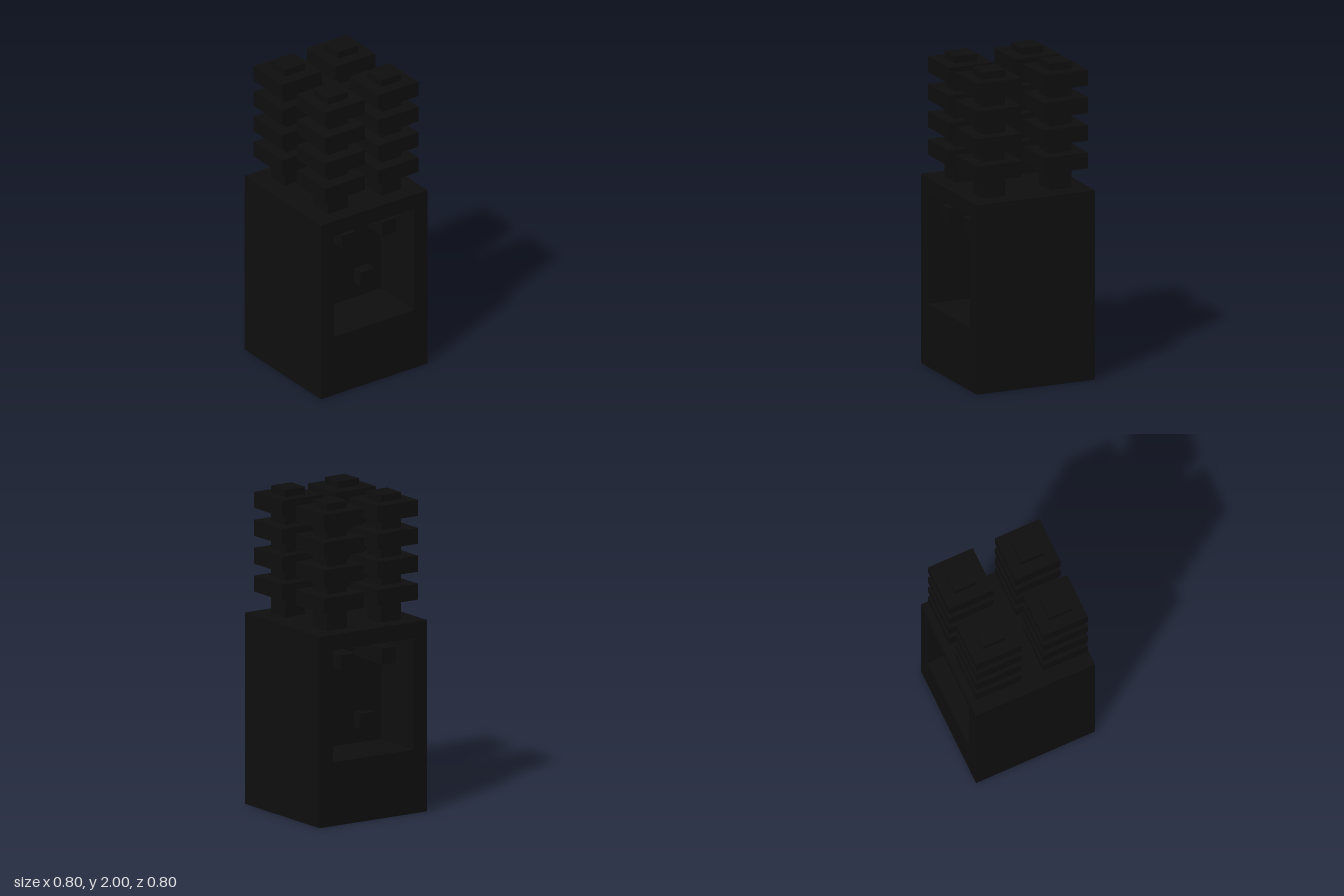
import * as THREE from 'three';

const black = new THREE.MeshStandardMaterial({ color: 0x0e0e0e });
black.name = 'black';
const paleGrey = new THREE.MeshStandardMaterial({ color: 0xd0d0d0 });
paleGrey.name = 'pale grey';

function box(name, size, position, material = black) {
  const mesh = new THREE.Mesh(new THREE.BoxGeometry(...size), material);
  mesh.name = name;
  mesh.position.set(...position);
  return mesh;
}

// Square casing with a rectangular opening through it
function casing() {
  const outline = new THREE.Shape([[-0.4, 0], [0.4, 0], [0.4, 1.2], [-0.4, 1.2]]
    .map(([x, y]) => new THREE.Vector2(x, y)));
  outline.holes.push(new THREE.Path([[-0.3, 0.4], [-0.3, 1.1], [0.3, 1.1], [0.3, 0.4]]
    .map(([x, y]) => new THREE.Vector2(x, y))));
  const geometry = new THREE.ExtrudeGeometry(outline, { depth: 0.8, bevelEnabled: false });
  geometry.translate(0, 0, -0.4);
  const mesh = new THREE.Mesh(geometry, black);
  mesh.name = 'casing';
  return mesh;
}

// Pegs and light strip inside one recess
function recessFittings(name) {
  const group = new THREE.Group();
  group.name = name;
  for (const x of [-0.15, 0.15]) {
    group.add(box('longPeg', [0.1, 0.1, 0.3], [x, 1, 0.2]));
    group.add(box('shortPeg', [0.1, 0.1, 0.07], [x, 0.55, 0.085]));
  }
  group.add(box('lightStrip', [0.018, 0.42, 0.004], [-0.289, 0.87, 0.052], paleGrey));
  return group;
}

// Square post carrying four square fins
function insulator(x, z) {
  const group = new THREE.Group();
  group.name = 'insulator';
  group.position.set(x, 1.2, z);
  group.add(box('post', [0.15, 0.8, 0.15], [0, 0.4, 0]));
  for (let i = 0; i < 4; i++) {
    group.add(box('fin', [0.3, 0.1, 0.3], [0, 0.18 + i * 0.175, 0]));
  }
  return group;
}

export function createModel() {
  const model = new THREE.Group();
  model.name = 'transformerBox';
  model.add(casing());

  // Wall dividing the opening into a front and a back recess
  model.add(box('dividingWall', [0.6, 0.7, 0.1], [0, 0.75, 0]));

  const back = recessFittings('backFittings');
  back.rotation.y = Math.PI;
  model.add(recessFittings('frontFittings'), back);

  for (const x of [-0.2, 0.2]) {
    for (const z of [-0.225, 0.225]) model.add(insulator(x, z));
  }
  return model;
}
